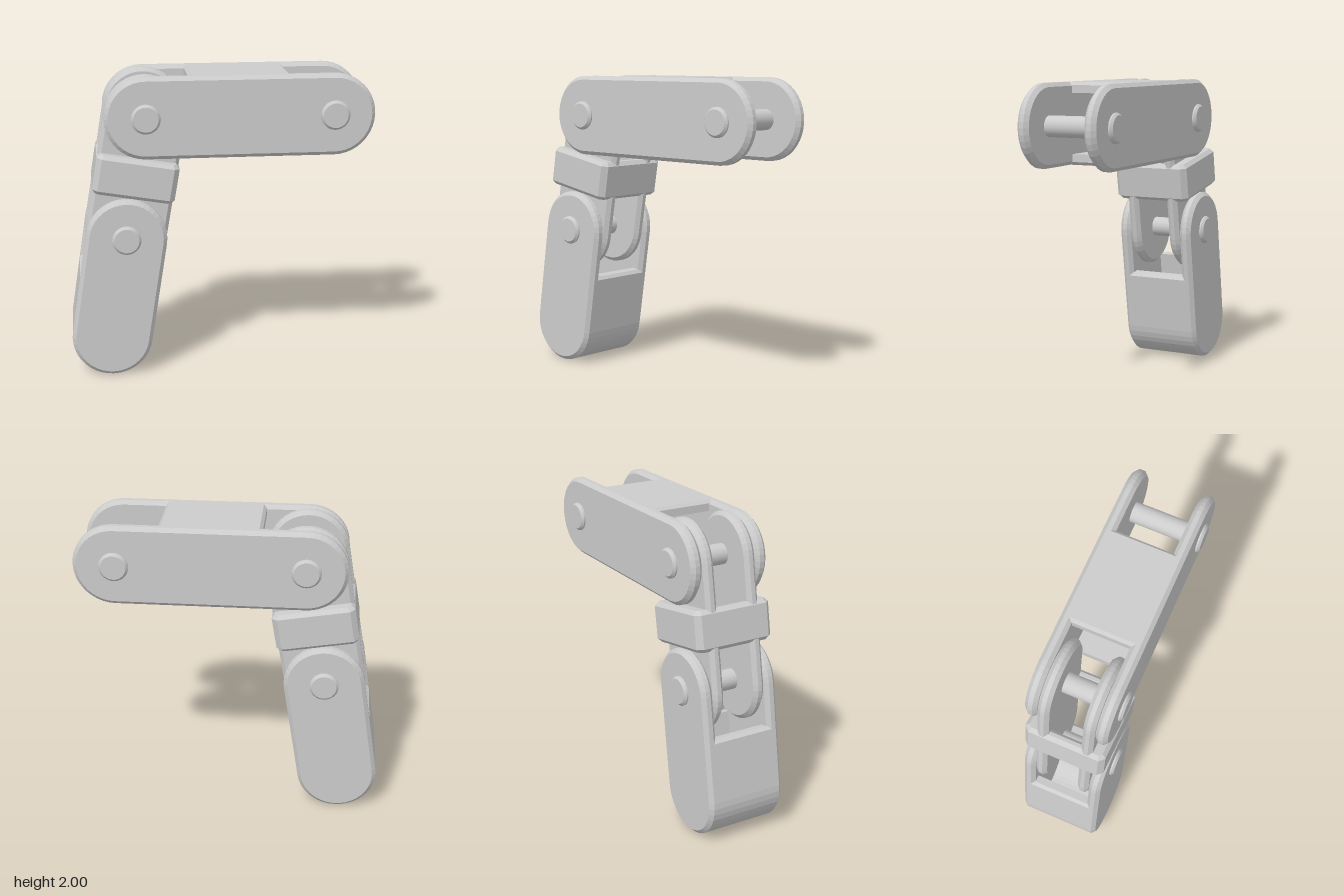
import * as THREE from 'three';

const R = 0.265;      // link half width
const WALL = 0.07;    // thickness of cross walls
const BEVEL = 0.025;
const CUT = 0.28;     // distance from pivot to where a cross wall begins
const SEGS = 10;

const material = new THREE.MeshStandardMaterial({ color: 0xcccccc });

function add(parent, name, geometry) {
  const mesh = new THREE.Mesh(geometry, material);
  mesh.name = name;
  parent.add(mesh);
  return mesh;
}

// Extrusion centred on z
function extrude(shape, depth, bevel = 0) {
  const g = new THREE.ExtrudeGeometry(shape, {
    depth: depth - 2 * bevel, curveSegments: SEGS, bevelEnabled: bevel > 0,
    bevelSize: bevel, bevelThickness: bevel, bevelSegments: 1,
  });
  return g.translate(0, 0, -(depth - 2 * bevel) / 2);
}

// Rounded side plate running from the pivot along +x
function stadium(length, r) {
  const s = new THREE.Shape();
  s.moveTo(0, -r);
  s.lineTo(length, -r);
  s.absarc(length, 0, r, -Math.PI / 2, Math.PI / 2, false);
  s.lineTo(0, r);
  s.absarc(0, 0, r, Math.PI / 2, Math.PI * 1.5, false);
  return s;
}

// Frame whose +x runs from point a to point b
function linkFrame(name, a, b) {
  const g = new THREE.Group();
  g.name = name;
  g.position.set(a[0], a[1], 0);
  g.rotation.z = Math.atan2(b[1] - a[1], b[0] - a[0]);
  g.userData.length = Math.hypot(b[0] - a[0], b[1] - a[1]);
  return g;
}

function addPlates(link, innerZ, outerZ) {
  const geo = extrude(stadium(link.userData.length, R - BEVEL), outerZ - innerZ, BEVEL);
  for (const side of [1, -1]) {
    add(link, side > 0 ? 'frontPlate' : 'backPlate', geo).position.z = side * (innerZ + outerZ) / 2;
  }
}

// Pin with a chamfered head at each end
function pin(name, [x, y]) {
  const profile = [[0, -0.295], [0.08, -0.295], [0.095, -0.28], [0.095, -0.255], [0.067, -0.255],
    [0.067, 0.255], [0.095, 0.255], [0.095, 0.28], [0.08, 0.295], [0, 0.295]]
    .map(([r, h]) => new THREE.Vector2(r, h));
  // every profile band keeps its own normals, so the edges stay sharp
  const group = new THREE.Group();
  group.name = name;
  for (let i = 0; i < profile.length - 1; i++) {
    const band = new THREE.LatheGeometry([profile[i], profile[i + 1]], 28);
    add(group, 'pinBand', band.rotateX(Math.PI / 2));
  }
  group.position.set(x, y, 0);
  return group;
}

export function createModel() {
  const model = new THREE.Group();
  model.name = 'jointedFinger';
  const tip = [0.728, 1.735], knuckle = [-0.487, 1.735];
  const elbow = [-0.623, 0.94], base = [-0.729, 0.265];
  const c = 0.02;

  // Upper link: two plates joined by a top and a bottom wall
  const upper = linkFrame('upperLink', knuckle, tip);
  addPlates(upper, 0.19, 0.27);
  const far = upper.userData.length - CUT;
  const slab = new THREE.Shape([
    [CUT, R - WALL], [far, R - WALL], [far, R - c], [far - c, R], [CUT + c, R], [CUT, R - c],
  ].map(p => new THREE.Vector2(...p)));
  const slabGeo = extrude(slab, 0.45);
  add(upper, 'topWall', slabGeo);
  add(upper, 'bottomWall', slabGeo).rotation.x = Math.PI;

  // Middle link: narrower plates held by a hollow collar
  const middle = linkFrame('middleLink', knuckle, elbow);
  addPlates(middle, 0.11, 0.187);
  const w = R - BEVEL + 0.004, d = 0.27 - BEVEL;
  const collar = new THREE.Shape([
    [d, -w + c], [d, w - c], [d - c, w], [-d + c, w],
    [-d, w - c], [-d, -w + c], [-d + c, -w], [d - c, -w],
  ].map(p => new THREE.Vector2(...p)));
  const hw = R - WALL + BEVEL, hd = 0.115 + BEVEL;
  collar.holes.push(new THREE.Path([[-hd, -hw], [-hd, hw], [hd, hw], [hd, -hw]]
    .map(p => new THREE.Vector2(...p))));
  add(middle, 'collar', extrude(collar, 0.26, BEVEL).rotateY(Math.PI / 2))
    .position.x = middle.userData.length / 2;

  // Lower link: two plates joined by a U-shaped wall
  const lower = linkFrame('lowerLink', elbow, base);
  addPlates(lower, 0.19, 0.27);
  const L = lower.userData.length, ri = R - WALL;
  const u = new THREE.Shape();
  u.moveTo(CUT, -ri);
  u.lineTo(CUT, -R + c);
  u.lineTo(CUT + c, -R);
  u.lineTo(L, -R);
  u.absarc(L, 0, R, -Math.PI / 2, Math.PI / 2, false);
  u.lineTo(CUT + c, R);
  u.lineTo(CUT, R - c);
  u.lineTo(CUT, ri);
  u.lineTo(L, ri);
  u.absarc(L, 0, ri, Math.PI / 2, -Math.PI / 2, true);
  add(lower, 'endWall', extrude(u, 0.45));

  model.add(upper, middle, lower,
    pin('tipPin', tip), pin('knucklePin', knuckle), pin('elbowPin', elbow));
  return model;
}
